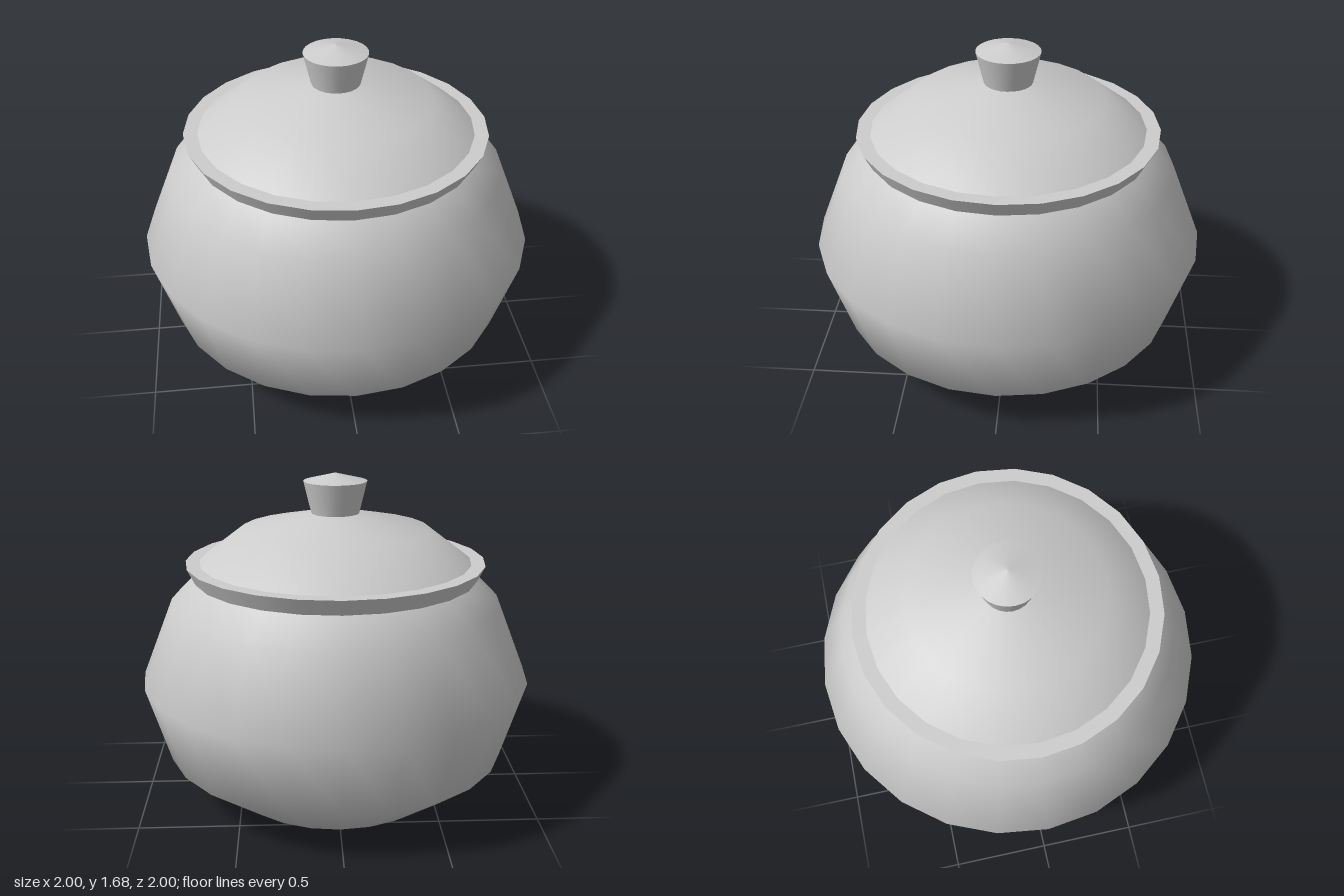
import * as THREE from 'three';

const SIDES = 24;
const material = new THREE.MeshStandardMaterial({ color: 0xcccccc });
material.name = 'plain grey';

// Revolves an outline, listed from bottom to top, with smooth normals
function turned(name, outline) {
  const points = outline.map(([r, y]) => new THREE.Vector2(r, y));
  const mesh = new THREE.Mesh(new THREE.LatheGeometry(points, SIDES), material);
  mesh.name = name;
  return mesh;
}

export function createModel() {
  const pot = new THREE.Group();
  pot.name = 'lidded pot';

  // Round belly with its base
  pot.add(turned('body', [[0, 0], [0.56, 0], [0.88, 0.24], [1, 0.64], [0.84, 1.04], [0.72, 1.16]]));

  // Flared rim, with a sharp edge between its wall and its flat top
  const rim = new THREE.Group();
  rim.name = 'rim';
  rim.add(turned('rimWall', [[0.72, 1.16], [0.76, 1.24]]));
  rim.add(turned('rimTop', [[0.76, 1.24], [0.69, 1.24]]));
  pot.add(rim);

  // Domed lid
  pot.add(turned('lid', [[0.69, 1.24], [0.48, 1.4], [0.12, 1.48], [0, 1.5]]));

  // Tapered knob with a shallow cone on top
  const knob = new THREE.Group();
  knob.name = 'knob';
  knob.add(turned('knobSide', [[0.12, 1.475], [0.16, 1.64]]));
  knob.add(turned('knobTop', [[0.16, 1.64], [0, 1.68]]));
  pot.add(knob);

  return pot;
}
